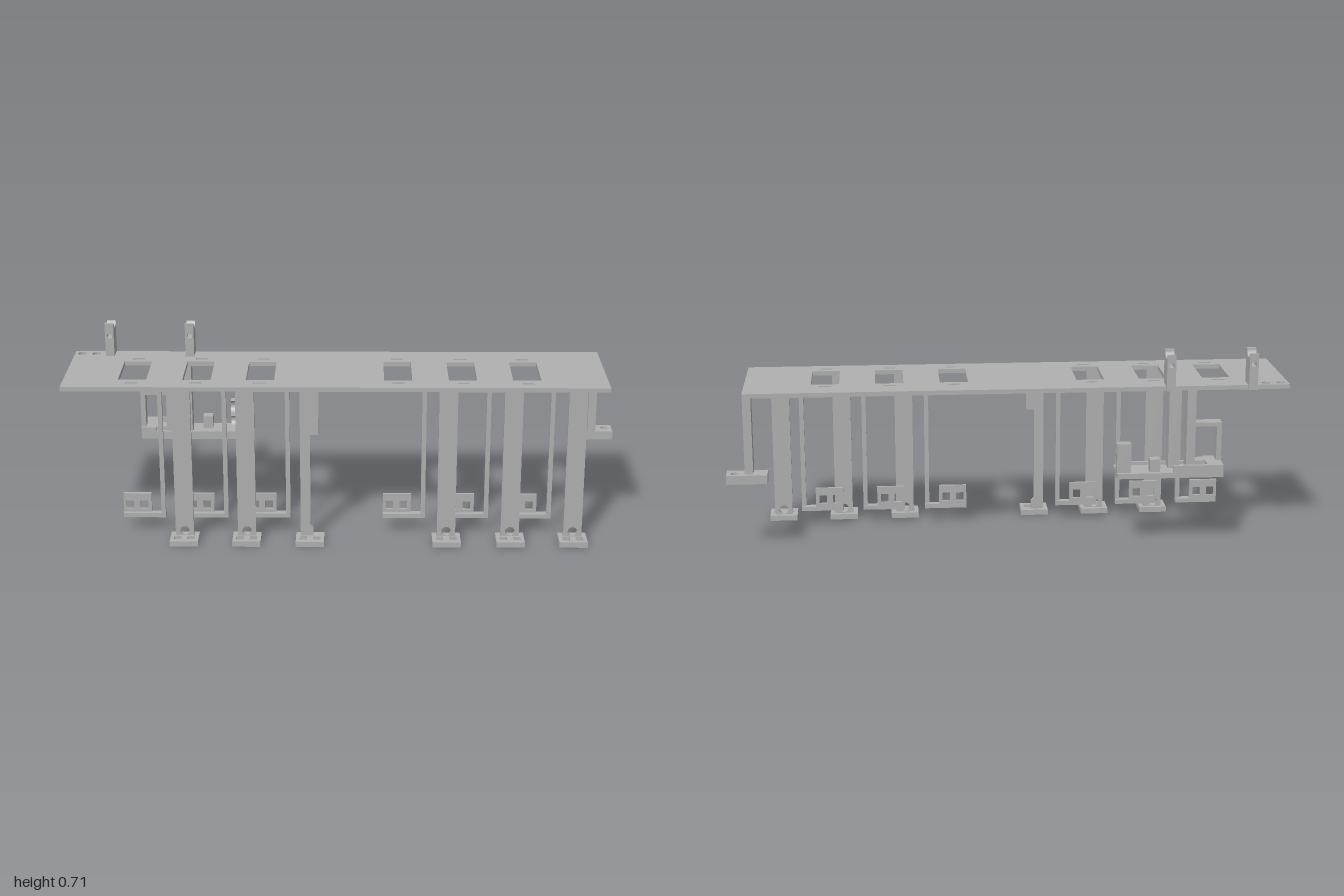
import * as THREE from 'three';

const grey = new THREE.MeshStandardMaterial({ color: 0xb0b0b0 });
grey.name = 'grey metal';

// box given by its limits
function box(name, x0, x1, y0, y1, z0, z1) {
  const g = new THREE.BoxGeometry(x1 - x0, y1 - y0, z1 - z0);
  g.translate((x0 + x1) / 2, (y0 + y1) / 2, (z0 + z1) / 2);
  const m = new THREE.Mesh(g, grey);
  m.name = name;
  return m;
}

function rectPath(x0, x1, y0, y1, P = THREE.Path) {
  const p = new P();
  p.moveTo(x0, y0).lineTo(x1, y0).lineTo(x1, y1).lineTo(x0, y1).closePath();
  return p;
}

function circlePath(x, y, r) {
  const p = new THREE.Path();
  p.absarc(x, y, r, 0, Math.PI * 2, true);
  return p;
}

function extrude(shape, depth) {
  return new THREE.ExtrudeGeometry(shape, { depth, bevelEnabled: false, curveSegments: 12 });
}

// upright panel in the xy plane, from z0 to z1
function panel(name, shape, z0, z1) {
  const m = new THREE.Mesh(extrude(shape, z1 - z0).translate(0, 0, z0), grey);
  m.name = name;
  return m;
}

// horizontal panel; the shape uses (x, -z)
function slab(name, shape, y0, y1) {
  const m = new THREE.Mesh(extrude(shape, y1 - y0).rotateX(-Math.PI / 2).translate(0, y0, 0), grey);
  m.name = name;
  return m;
}

// side profile panel; the shape uses (-z, y), extruded from x0 to x1
function sidePanel(name, shape, x0, x1) {
  const m = new THREE.Mesh(extrude(shape, x1 - x0).rotateY(Math.PI / 2).translate(x0, 0, 0), grey);
  m.name = name;
  return m;
}

const DECK = 0.572, TOP = 0.588;

function deck() {
  const s = rectPath(-1, 0.935, -0.2, 0.2, THREE.Shape);
  for (const c of [-0.755, -0.526, -0.3, 0.19, 0.42, 0.648]) {
    s.holes.push(rectPath(c - 0.05, c + 0.05, -0.12, 0.08));
    s.holes.push(rectPath(c - 0.021, c + 0.021, 0.104, 0.12));
    s.holes.push(rectPath(c - 0.021, c + 0.021, -0.16, -0.145));
  }
  s.holes.push(circlePath(-0.973, 0.173, 0.016), circlePath(-0.92, 0.173, 0.016));
  return slab('deck', s, DECK, TOP);
}

// front leg with a round hole above its two-slot foot
function frontLeg(c, cut) {
  const g = new THREE.Group();
  g.name = 'frontLeg';
  const s = new THREE.Shape();
  if (cut) {
    s.moveTo(c - 0.034, 0.02).lineTo(c + 0.012, 0.02).lineTo(c + 0.012, 0.05).lineTo(c + 0.002, 0.06)
      .lineTo(c + 0.002, 0.41).lineTo(c + 0.033, 0.41).lineTo(c + 0.033, DECK).lineTo(c - 0.034, DECK);
  } else {
    s.copy(rectPath(c - 0.033, c + 0.033, 0.02, DECK, THREE.Shape));
    s.holes.push(circlePath(c, 0.039, 0.017));
  }
  g.add(panel('legPost', s, 0.185, 0.2));
  const f = rectPath(c - 0.051, c + 0.051, -0.255, -0.168, THREE.Shape);
  for (const d of [-0.024, 0.024]) f.holes.push(rectPath(c + d - 0.013, c + d + 0.013, -0.235, -0.206));
  g.add(slab('foot', f, 0, 0.02));
  return g;
}

// thin stem with a bottom bar and a plate with two square holes
function hanger(c) {
  const g = new THREE.Group();
  g.name = 'hanger';
  const x0 = c - 0.051, x1 = c + 0.051;
  g.add(box('hangerStem', c + 0.087, c + 0.103, 0.06, DECK, 0.11, 0.126));
  g.add(box('hangerBar', x0, c + 0.103, 0.058, 0.074, 0.1, 0.126));
  const s = rectPath(x0, x1, 0.074, 0.146, THREE.Shape);
  for (const d of [-0.027, 0.024]) s.holes.push(rectPath(c + d - 0.014, c + d + 0.014, 0.086, 0.118));
  g.add(panel('hangerPlate', s, 0.1, 0.11));
  return g;
}

// upright clip with a round notch in its top
function clip(c) {
  const g = new THREE.Group();
  g.name = 'topClip';
  const body = (y0, y1, x0, x1) => rectPath(0.142, 0.21, y0, y1, THREE.Shape);
  g.add(sidePanel('clipBase', body(DECK, 0.657), c - 0.016, c + 0.016));
  for (const d of [-0.0125, 0.0125])
    g.add(sidePanel('clipCheek', body(0.657, 0.672), c + d - 0.0035, c + d + 0.0035));
  const s = new THREE.Shape();
  s.moveTo(0.142, 0.672).lineTo(0.21, 0.672).lineTo(0.21, 0.705);
  s.absarc(0.184, 0.712, 0.026, -0.27, -Math.PI, true);
  s.lineTo(0.142, 0.712);
  g.add(sidePanel('clipHead', s, c - 0.016, c + 0.016));
  return g;
}

// rear stand at the left end
function rearStand() {
  const g = new THREE.Group();
  g.name = 'rearStand';
  g.add(box('standPost', 0.905, 0.935, 0.295, DECK, -0.193, -0.142));
  const f = rectPath(0.855, 1, 0.142, 0.21, THREE.Shape);
  f.holes.push(circlePath(0.972, 0.182, 0.013));
  g.add(slab('standFoot', f, 0.263, 0.295));
  return g;
}

// tray hung under the rear edge, with its frame and notched block
function rearTray() {
  const g = new THREE.Group();
  g.name = 'rearTray';
  g.add(box('trayPost', -0.667, -0.635, 0.28, DECK, -0.193, -0.142));
  g.add(box('trayPost', -0.612, -0.57, 0.28, DECK, -0.193, -0.142));
  g.add(box('trayFloor', -0.76, -0.38, 0.265, 0.284, -0.253, -0.133));
  g.add(box('trayBackWall', -0.76, -0.58, 0.284, 0.31, -0.253, -0.24));
  g.add(box('trayEndWall', -0.76, -0.705, 0.284, 0.31, -0.24, -0.133));
  g.add(box('trayFrontWall', -0.705, -0.4, 0.284, 0.295, -0.145, -0.133));

  // square frame beside the post
  const s = rectPath(-0.762, -0.65, 0.295, 0.45, THREE.Shape);
  s.holes.push(rectPath(-0.744, -0.665, 0.31, 0.435));
  g.add(panel('trayFrame', s, -0.19, -0.145));

  // small clip in the middle
  g.add(box('smallClip', -0.535, -0.498, 0.284, 0.33, -0.238, -0.2));

  // block with two round bites
  const b = new THREE.Shape();
  b.moveTo(0.193, 0.284).lineTo(0.24, 0.284).lineTo(0.24, 0.39).lineTo(0.206, 0.39);
  b.absarc(0.193, 0.37, 0.024, 0.98, -1.4, true);
  b.lineTo(0.195, 0.334);
  b.absarc(0.193, 0.315, 0.019, 1.4, -1.4, true);
  g.add(sidePanel('notchedBlock', b, -0.43, -0.38));
  return g;
}

export function createModel() {
  const model = new THREE.Group();
  model.name = 'platform';
  model.add(deck());
  [-0.577, -0.352, -0.124, 0.367, 0.597, 0.823].forEach((c, i) => model.add(frontLeg(c, i === 2)));
  for (const c of [-0.755, -0.526, -0.3, 0.19, 0.42, 0.648]) model.add(hanger(c));
  for (const c of [-0.866, -0.572]) model.add(clip(c));
  model.add(rearStand(), rearTray());
  return model;
}
